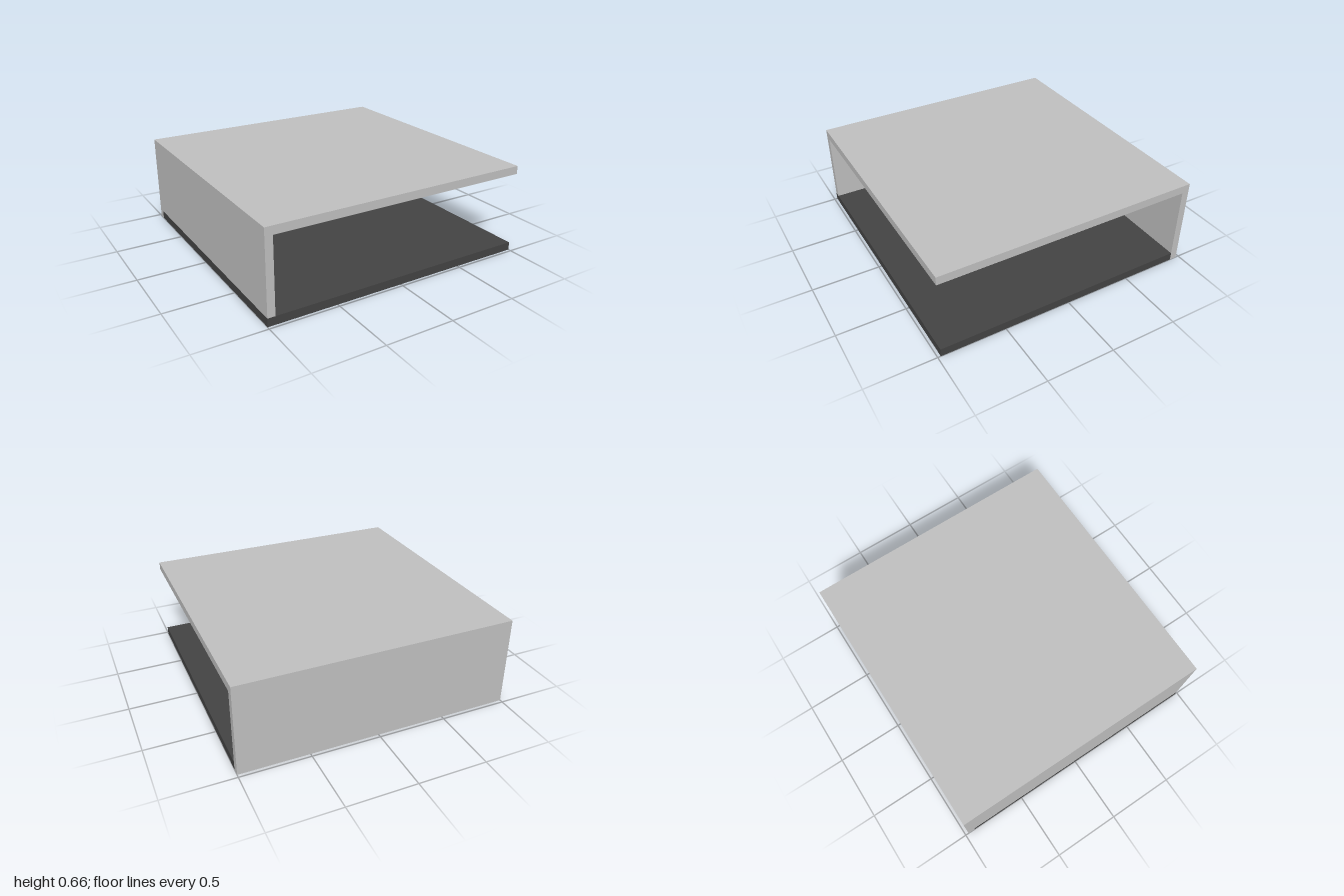
import * as THREE from 'three';

const mat = (name, color, extra = {}) => {
  const m = new THREE.MeshStandardMaterial({ color, ...extra });
  m.name = name;
  return m;
};

export function createModel() {
  const wall = mat('wall grey', 0xbdbdbd);
  const floorMat = mat('floor dark grey', 0x424242);
  const frame = mat('frame grey', 0x848484);
  const red = mat('cabinet red', 0x7e0e10);
  const drawerMat = mat('drawer grey', 0x434446);
  const silver = mat('handle silver', 0xc6c6c6);
  const rubber = mat('rubber', 0x303133, { side: THREE.DoubleSide });
  const potMat = mat('pot charcoal', 0x38383b);
  const leafMat = mat('leaf green', 0x4c7a4f, { side: THREE.DoubleSide });
  const soilMat = mat('soil', 0x2c221c);

  const root = new THREE.Group();
  root.name = 'garage';

  const add = (name, geo, m, parent = root) => {
    const mesh = new THREE.Mesh(geo, m);
    mesh.name = name;
    parent.add(mesh);
    return mesh;
  };
  // box given by its minimum and maximum along each axis
  const box = (name, m, [x0, x1], [y0, y1], [z0, z1], parent) => {
    const mesh = add(name, new THREE.BoxGeometry(x1 - x0, y1 - y0, z1 - z0), m, parent);
    mesh.position.set((x0 + x1) / 2, (y0 + y1) / 2, (z0 + z1) / 2);
    return mesh;
  };
  const group = (name) => {
    const g = new THREE.Group();
    g.name = name;
    root.add(g);
    return g;
  };

  // Shell: open at the front and on the +x side
  box('floor', floorMat, [-1, 1], [0, 0.06], [-0.92, 0.978]);
  box('roof', wall, [-1, 1], [0.6, 0.66], [-0.975, 0.978]);
  box('backWall', wall, [-1, 1], [0, 0.6], [-0.975, -0.92]);
  box('sideWall', wall, [-1, -0.945], [0.06, 0.6], [-0.92, 0.978]);

  // Door with three panes above it
  const door = group('door');
  box('doorPanel', frame, [-0.765, -0.26], [0.06, 0.505], [-0.92, -0.912], door);
  for (const [a, b] of [[-0.75, -0.605], [-0.593, -0.433], [-0.418, -0.278]])
    box('doorPane', wall, [a, b], [0.515, 0.585], [-0.92, -0.914], door);

  // Side window: a frame with a 4 by 2 grid of openings
  const outline = new THREE.Shape([[-0.25, 0.315], [0.25, 0.315], [0.25, 0.53], [-0.25, 0.53]]
    .map(p => new THREE.Vector2(...p)));
  for (let c = 0; c < 4; c++) for (let r = 0; r < 2; r++) {
    const x = -0.225 + c * 0.119, y = 0.338 + r * 0.094;
    outline.holes.push(new THREE.Path([[x, y], [x, y + 0.075], [x + 0.093, y + 0.075], [x + 0.093, y]]
      .map(p => new THREE.Vector2(...p))));
  }
  const windowFrame = add('windowFrame',
    new THREE.ExtrudeGeometry(outline, { depth: 0.008, bevelEnabled: false }), frame);
  windowFrame.rotation.y = Math.PI / 2;
  windowFrame.position.set(-0.945, 0, -0.025);

  // Ceiling lamp
  const lamp = group('ceilingLamp');
  box('lampBase', wall, [0.45, 0.57], [0.594, 0.6], [0.42, 0.52], lamp);
  box('lampPanel', silver, [0.47, 0.55], [0.591, 0.594], [0.44, 0.5], lamp);

  // Tool cabinet: four columns of one small and one tall drawer, some pulled out
  const cabinet = group('toolCabinet');
  box('cabinetBody', red, [-0.943, -0.806], [0.06, 0.26], [-0.915, -0.345], cabinet);
  const pulls = [[0, 0], [0.04, 0], [0, 0.07], [0.02, 0.035]];
  pulls.forEach((pair, c) => {
    const z1 = -0.356 - c * 0.14, z0 = z1 - 0.127;
    [[0.2, 0.252, 0.233], [0.07, 0.172, 0.147]].forEach(([y0, y1, hy], r) => {
      const front = -0.8 + pair[r];
      box('drawer', drawerMat, [-0.81, front], [y0, y1], [z0, z1], cabinet);
      box('drawerHandle', silver, [front, front + 0.006], [hy - 0.009, hy + 0.009],
        [z0 + 0.034, z1 - 0.034], cabinet);
    });
  });

  // Toolbox on the cabinet
  const toolbox = group('toolbox');
  box('toolboxBody', leafMat, [-0.938, -0.815], [0.26, 0.28], [-0.49, -0.37], toolbox);
  box('toolboxEnd', leafMat, [-0.93, -0.825], [0.26, 0.276], [-0.515, -0.49], toolbox);

  // Tyres: three leaning on the cabinet and one lying down
  const tyreGeo = new THREE.LatheGeometry([
    [0.027, -0.015], [0.033, -0.019], [0.047, -0.019], [0.053, -0.012],
    [0.053, 0.012], [0.047, 0.019], [0.033, 0.019], [0.027, 0.015], [0.027, -0.015],
  ].map(p => new THREE.Vector2(...p)), 20).toNonIndexed();
  tyreGeo.computeVertexNormals();
  const tyres = group('tyres');
  for (const [x, z, tilt] of [
    [-0.88, -0.22, 0.7], [-0.885, -0.275, 0.17], [-0.88, -0.317, 0.12], [-0.77, -0.288, Math.PI / 2],
  ]) {
    const tyre = add('tyre', tyreGeo, rubber, tyres);
    tyre.rotation.x = Math.PI / 2 - tilt;
    tyre.position.set(x, 0.06 + 0.053 * Math.cos(tilt) + 0.019 * Math.sin(tilt), z);
  }

  // Potted plant
  const plant = group('pottedPlant');
  const px = 0.045, pz = -0.705;
  add('pot', new THREE.CylinderGeometry(0.043, 0.03, 0.066, 14), potMat, plant).position.set(px, 0.093, pz);
  add('soil', new THREE.CylinderGeometry(0.038, 0.038, 0.004, 14), soilMat, plant).position.set(px, 0.127, pz);

  // A leaf is a row of cross-sections along an arched rib, with a notched edge
  const leafGeometry = (rib) => {
    const pos = [], index = [], n = 14;
    for (let i = 0; i <= n; i++) {
      const s = i / n, t = 0.38 + 0.62 * s;
      const p = rib.getPoint(t), d = rib.getTangent(t);
      const side = new THREE.Vector3(-d.z, 0, d.x).normalize();
      const w = 0.046 * Math.pow(Math.sin(Math.PI * Math.min(0.06 + s, 1)), 0.6) * (i % 2 ? 1 : 0.6);
      for (const k of [-1, 0, 1]) {
        const q = p.clone().addScaledVector(side, k * w);
        pos.push(q.x, q.y - Math.abs(k) * w * 0.45, q.z);
      }
      if (i) for (const k of [0, 1]) {
        const a = (i - 1) * 3 + k, b = a + 3;
        index.push(a, a + 1, b, a + 1, b + 1, b);
      }
    }
    const g = new THREE.BufferGeometry();
    g.setAttribute('position', new THREE.Float32BufferAttribute(pos, 3));
    g.setIndex(index);
    const flat = g.toNonIndexed();
    flat.computeVertexNormals();
    return flat;
  };
  // leaf tip position and height of the arch
  for (const [x, y, z, h] of [
    [-0.09, 0.305, -0.81, 0.315], [-0.11, 0.225, -0.64, 0.25], [0.175, 0.185, -0.62, 0.26],
    [0.14, 0.105, -0.58, 0.21], [0.11, 0.235, -0.9, 0.3], [-0.01, 0.14, -0.56, 0.24],
  ]) {
    const mid = (a, b, t) => a + (b - a) * t;
    const rib = new THREE.CubicBezierCurve3(
      new THREE.Vector3(px, 0.12, pz),
      new THREE.Vector3(mid(px, x, 0.1), mid(0.12, h, 0.6), mid(pz, z, 0.1)),
      new THREE.Vector3(mid(px, x, 0.5), h, mid(pz, z, 0.5)),
      new THREE.Vector3(x, y, z));
    add('leafStem', new THREE.TubeGeometry(rib, 10, 0.004, 5), leafMat, plant);
    add('leaf', leafGeometry(rib), leafMat, plant);
  }

  return root;
}
